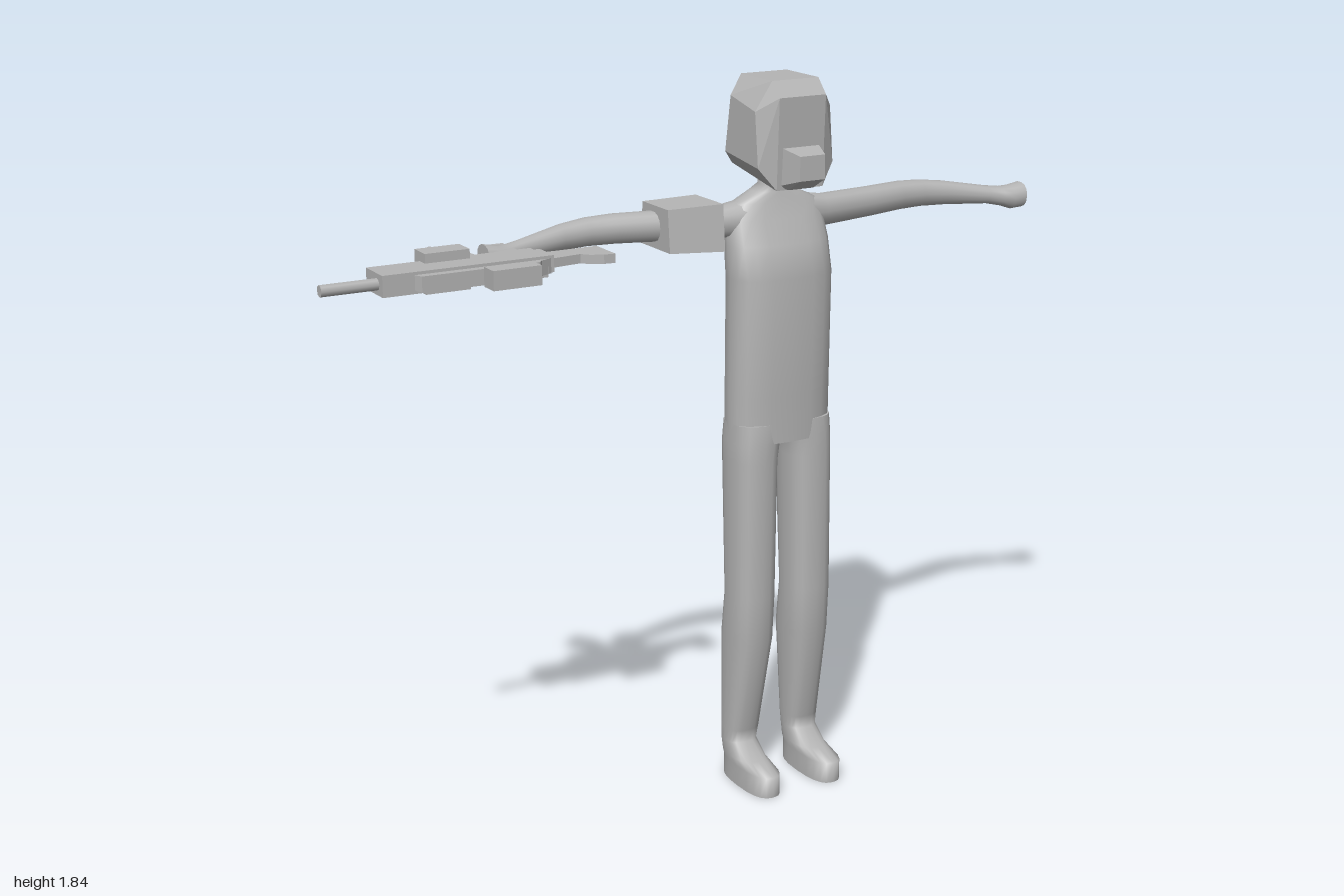
import * as THREE from 'three';
import { ConvexGeometry } from 'three/addons/geometries/ConvexGeometry.js';

const CX = 0.225; // the figure stands off-centre, its gun fills the other side
const GUN_Y = 1.465;

// Smooth skin through rounded cross-sections.
// Axis 'y' rows: [y, x0, x1, z0, z1]. Axis 'x' rows: [x, z0, z1, y0, y1].
function loft(rows, axis, power = 2.6, n = 20) {
  const pos = [], idx = [];
  const put = (t, a, b) => (axis === 'y' ? pos.push(a, t, b) : pos.push(t, b, a));
  const bend = v => Math.sign(v) * Math.pow(Math.abs(v), 2 / power);
  const ring = ([t, a0, a1, b0, b1]) => {
    for (let i = 0; i < n; i++) {
      const w = (i / n) * Math.PI * 2;
      put(t, (a0 + a1) / 2 + bend(Math.cos(w)) * (a1 - a0) / 2,
        (b0 + b1) / 2 + bend(Math.sin(w)) * (b1 - b0) / 2);
    }
  };
  rows.forEach(ring);
  for (let r = 0; r < rows.length - 1; r++) {
    for (let i = 0; i < n; i++) {
      const a = r * n + i, b = r * n + (i + 1) % n;
      idx.push(a, a + n, b, b, a + n, b + n);
    }
  }
  // flat end caps with their own vertices
  [rows[0], rows[rows.length - 1]].forEach((row, end) => {
    const s = pos.length / 3;
    ring(row);
    put(row[0], (row[1] + row[2]) / 2, (row[3] + row[4]) / 2);
    for (let i = 0; i < n; i++) {
      const a = s + i, b = s + (i + 1) % n;
      if (end) idx.push(s + n, b, a); else idx.push(s + n, a, b);
    }
  });
  const g = new THREE.BufferGeometry();
  g.setAttribute('position', new THREE.Float32BufferAttribute(pos, 3));
  g.setIndex(idx);
  g.computeVertexNormals();
  return g;
}

// Outline in x,z given a thickness in y, lying flat around the gun's height
function plate(points, thick) {
  const shape = new THREE.Shape(points.map(p => new THREE.Vector2(p[0], p[1])));
  const g = new THREE.ExtrudeGeometry(shape, { depth: thick, bevelEnabled: false });
  return g.rotateX(Math.PI / 2).translate(0, GUN_Y + thick / 2, 0);
}
const slab = (x0, x1, z0, z1, thick) => plate([[x0, z0], [x1, z0], [x1, z1], [x0, z1]], thick);

// Faceted solid from half-widths and z,y profiles, symmetric about the figure
function facets(groups) {
  const pts = [];
  for (const [half, profile] of groups)
    for (const [z, y] of profile)
      for (const s of [-1, 1]) pts.push(new THREE.Vector3(CX + s * half, y, z));
  return new ConvexGeometry(pts);
}

export function createModel() {
  const model = new THREE.Group();
  model.name = 'riflemanFigure';
  const grey = new THREE.MeshStandardMaterial({ color: 0xb4b4b4 });
  grey.name = 'plainGrey';
  const add = (name, geometry, parent = model) => {
    const m = new THREE.Mesh(geometry, grey);
    m.name = name;
    parent.add(m);
    return m;
  };

  // Torso with sloping shoulders and neck
  add('torso', loft([
    [0.93, 0.086, 0.364, -0.09, 0.06],
    [1.05, 0.085, 0.365, -0.09, 0.06],
    [1.35, 0.085, 0.365, -0.088, 0.066],
    [1.43, 0.085, 0.365, -0.09, 0.04],
    [1.49, 0.09, 0.36, -0.09, 0.012],
    [1.53, 0.11, 0.34, -0.088, 0.0],
    [1.555, 0.165, 0.285, -0.084, -0.01],
    [1.57, 0.19, 0.26, -0.08, -0.01],
    [1.64, 0.192, 0.258, -0.08, -0.01],
  ], 'y'));

  // Legs running down into the feet
  const leg = [
    [0, 0.273, 0.361, -0.082, 0.137],
    [0.055, 0.273, 0.361, -0.082, 0.137],
    [0.07, 0.273, 0.36, -0.082, 0.06],
    [0.105, 0.274, 0.36, -0.081, 0.002],
    [0.14, 0.27, 0.36, -0.082, 0.008],
    [0.4, 0.252, 0.364, -0.09, 0.057],
    [0.52, 0.25, 0.365, -0.07, 0.06],
    [0.88, 0.243, 0.365, -0.088, 0.06],
    [0.93, 0.235, 0.365, -0.09, 0.06],
    [0.98, 0.22, 0.363, -0.086, 0.056],
  ];
  add('leftLeg', loft(leg, 'y'));
  add('rightLeg', loft(leg.map(([y, a, b, c, d]) => [y, 2 * CX - b, 2 * CX - a, c, d]), 'y'));

  // Arms stretched sideways, ending in simple fists
  const arm = [
    [0.3, -0.088, 0.0, 1.44, 1.54],
    [0.37, -0.088, -0.01, 1.448, 1.528],
    [0.53, -0.118, -0.04, 1.45, 1.525],
    [0.64, -0.14, -0.065, 1.452, 1.524],
    [0.71, -0.146, -0.075, 1.452, 1.52],
    [0.78, -0.138, -0.073, 1.45, 1.512],
    [0.9, -0.108, -0.053, 1.445, 1.492],
    [0.94, -0.097, -0.04, 1.437, 1.488],
    [0.965, -0.096, -0.028, 1.428, 1.49],
    [1.0, -0.097, -0.026, 1.43, 1.496],
  ];
  add('leftArm', loft(arm, 'x', 2.3, 14));
  add('rightArm', loft(arm.map(([x, ...r]) => [2 * CX - x, ...r]).reverse(), 'x', 2.3, 14));

  // Faceted helmet and muzzle
  add('helmet', facets([
    [0.065, [[0.055, 1.837], [-0.09, 1.837], [-0.13, 1.765], [-0.132, 1.612], [0.08, 1.576], [0.09, 1.8]]],
    [0.106, [[0.045, 1.765], [-0.07, 1.79], [-0.095, 1.65], [0.06, 1.63]]],
  ]));
  add('muzzle', facets([
    [0.035, [[0.137, 1.665], [0.137, 1.605], [0.085, 1.576]]],
    [0.055, [[0.07, 1.682], [0.07, 1.585]]],
  ]));

  // Boxy pad around the right upper arm
  const pad = [];
  for (const [x, z0, z1, y0, y1] of [[-0.092, -0.142, 0.005, 1.435, 1.54], [0.043, -0.118, 0.036, 1.432, 1.547]])
    for (const [y, inset] of [[y0, 0], [y1, 0.01]])
      pad.push(new THREE.Vector3(x, y, z0 + inset), new THREE.Vector3(x, y, z1 - inset));
  add('shoulderPad', new ConvexGeometry(pad));

  // Rifle lying on its side by the right hand
  const gun = new THREE.Group();
  gun.name = 'rifle';
  model.add(gun);
  add('barrel', new THREE.CylinderGeometry(0.014, 0.014, 0.16, 8)
    .rotateZ(Math.PI / 2).translate(-0.92, GUN_Y, 0.063), gun);
  add('receiver', slab(-0.865, -0.46, 0, 0.095, 0.05), gun);
  add('receiverEnd', slab(-0.46, -0.435, 0, 0.075, 0.04), gun);
  add('topRail', plate([[-0.79, 0.09], [-0.45, 0.09], [-0.48, 0.104], [-0.49, 0.116], [-0.78, 0.116]], 0.036), gun);
  add('sight', slab(-0.63, -0.51, 0.116, 0.166, 0.046), gun);
  add('magazineHousing', slab(-0.735, -0.625, -0.03, 0.03, 0.094), gun);
  add('magazine', plate([[-0.64, -0.172], [-0.688, -0.135], [-0.652, -0.1], [-0.632, -0.06], [-0.625, 0.005],
    [-0.578, 0.005], [-0.58, -0.035], [-0.592, -0.11]], 0.03), gun);
  add('grip', slab(-0.535, -0.478, -0.113, 0.005, 0.034), gun);
  add('stock', plate([[-0.44, 0], [-0.287, 0], [-0.287, 0.096], [-0.315, 0.093], [-0.345, 0.078],
    [-0.36, 0.06], [-0.44, 0.07]], 0.022), gun);
  return model;
}
